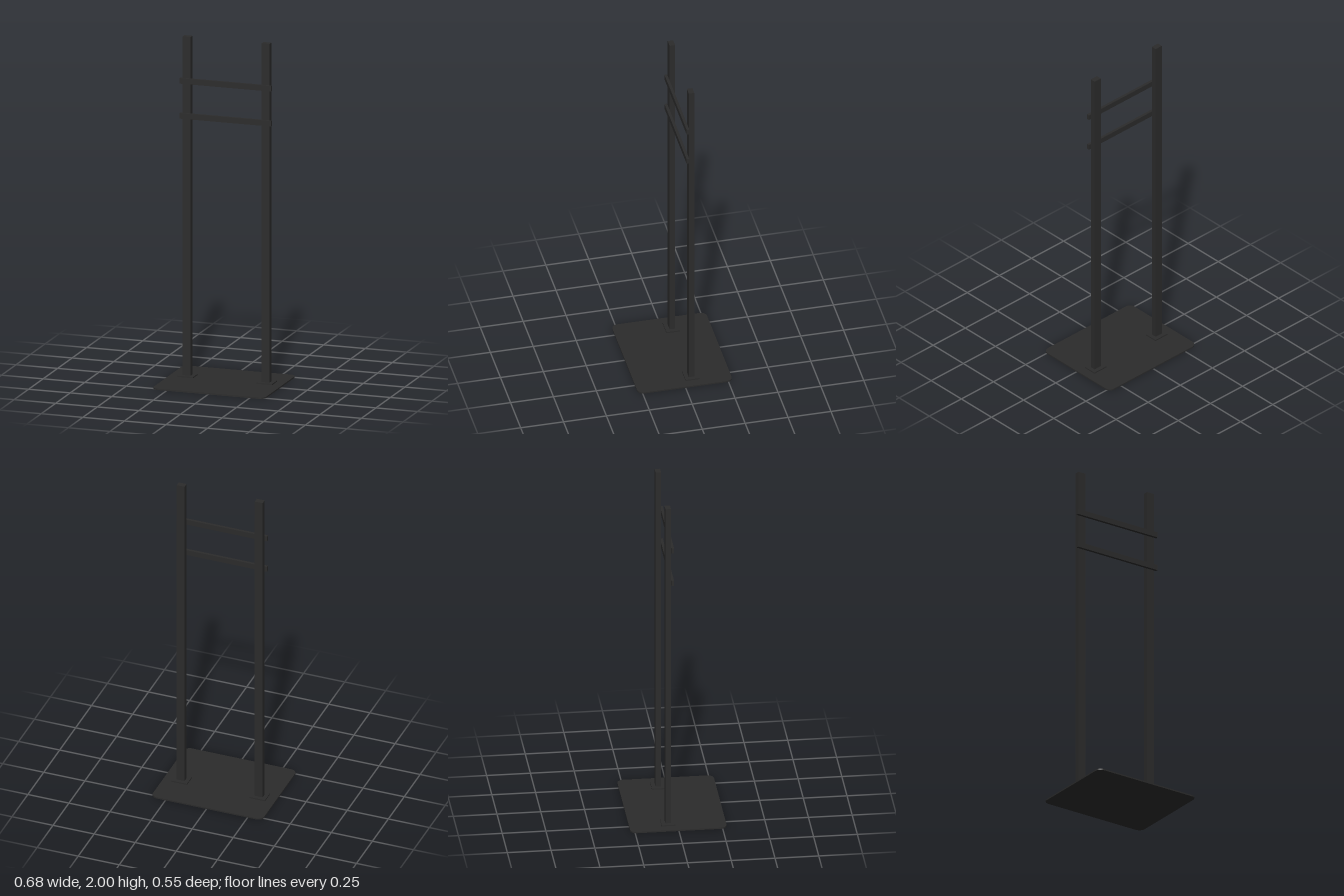
import * as THREE from 'three';

export function createModel() {
  const model = new THREE.Group();
  model.name = 'stand';
  const blackMetal = new THREE.MeshStandardMaterial({ color: 0x2b2b2b });
  blackMetal.name = 'black metal';

  const POST_Z = -0.0525, BASE_TOP = 0.008, FOOT_TOP = 0.015;

  // Box spanning y0 to y1, centred on x and z
  const box = (name, w, d, y0, y1, x, z) => {
    const mesh = new THREE.Mesh(new THREE.BoxGeometry(w, y1 - y0, d), blackMetal);
    mesh.name = name;
    mesh.position.set(x, (y0 + y1) / 2, z);
    model.add(mesh);
  };

  // Base plate with rounded corners
  const hw = 0.339, hd = 0.276, r = 0.037;
  const outline = new THREE.Shape();
  outline.absarc(hw - r, hd - r, r, 0, Math.PI / 2);
  outline.absarc(r - hw, hd - r, r, Math.PI / 2, Math.PI);
  outline.absarc(r - hw, r - hd, r, Math.PI, Math.PI * 1.5);
  outline.absarc(hw - r, r - hd, r, Math.PI * 1.5, Math.PI * 2);
  outline.closePath();
  const plate = new THREE.ExtrudeGeometry(outline, { depth: BASE_TOP, bevelEnabled: false, curveSegments: 6 });
  plate.rotateX(-Math.PI / 2);
  const base = new THREE.Mesh(plate, blackMetal);
  base.name = 'basePlate';
  model.add(base);

  // Uprights, each on a mounting foot
  for (const [side, s] of [['left', 1], ['right', -1]]) {
    box(side + 'Foot', 0.095, 0.079, BASE_TOP, FOOT_TOP, s * 0.2375, POST_Z);
    box(side + 'Post', 0.048, 0.032, FOOT_TOP, 2, s * 0.2375, POST_Z);
  }

  // Crossbars fixed to the front of the posts
  box('upperCrossbar', 0.551, 0.016, 1.726, 1.758, 0, -0.0285);
  box('lowerCrossbar', 0.551, 0.016, 1.521, 1.553, 0, -0.0285);

  return model;
}
